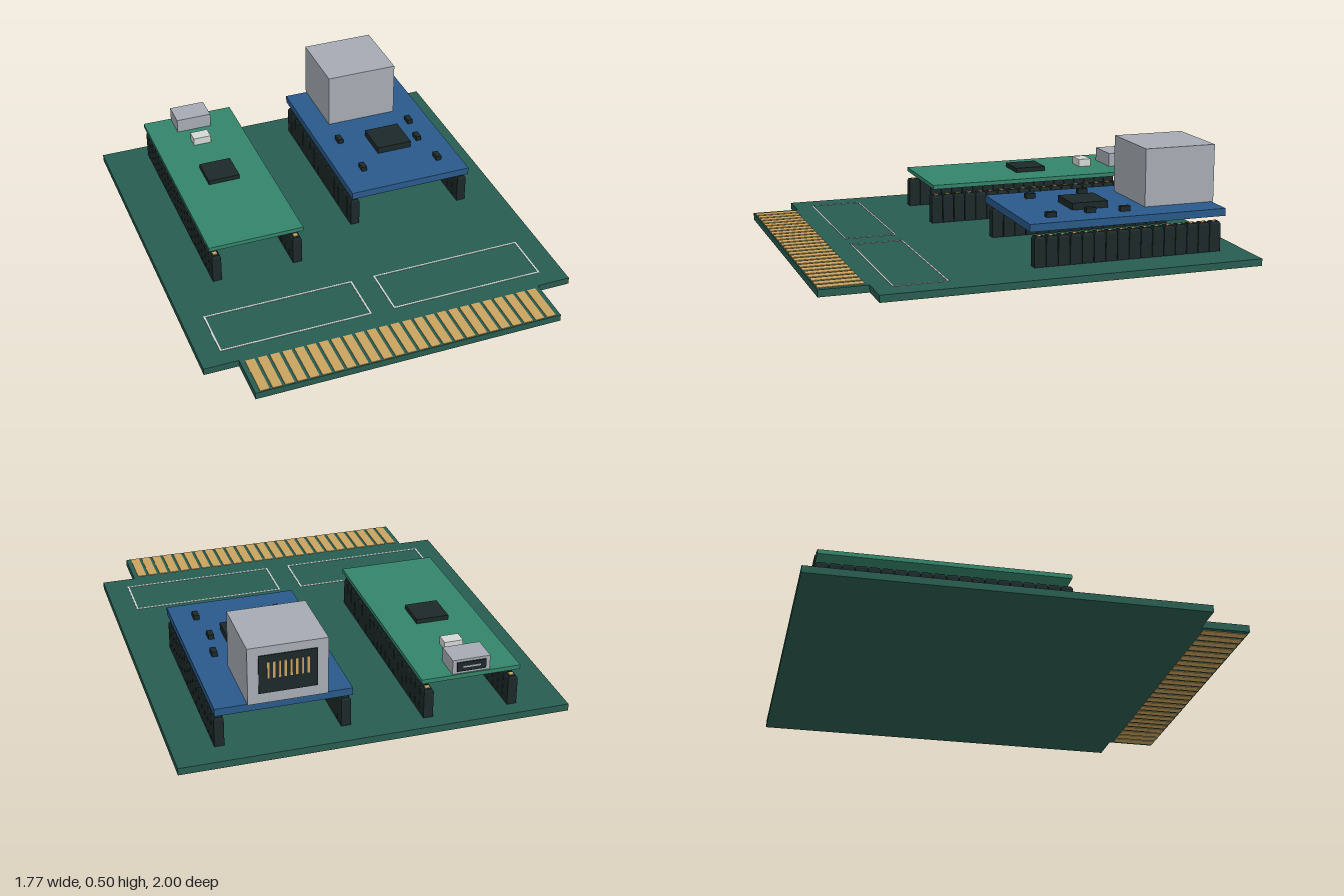
import * as THREE from 'three';

const mat = (name, color) => Object.assign(new THREE.MeshStandardMaterial({ color }), { name });

export function createModel() {
  const green = mat('dark green board', 0x285c50);
  const lightGreen = mat('light green board', 0x34846a);
  const blue = mat('blue board', 0x29598a);
  const black = mat('black plastic', 0x1c2828);
  const silver = mat('silver metal', 0xa6abb3);
  const gold = mat('gold contact', 0xc9a35f);
  const white = mat('white print', 0xd3d8d4);

  const model = new THREE.Group();
  model.name = 'expansionCard';

  const group = (name) => {
    const g = new THREE.Group();
    g.name = name;
    model.add(g);
    return g;
  };
  // Box given by its limits on each axis
  const box = (parent, name, material, [x0, x1], [y0, y1], [z0, z1]) => {
    const mesh = new THREE.Mesh(new THREE.BoxGeometry(x1 - x0, y1 - y0, z1 - z0), material);
    mesh.position.set((x0 + x1) / 2, (y0 + y1) / 2, (z0 + z1) / 2);
    mesh.name = name;
    parent.add(mesh);
    return mesh;
  };

  // Carrier board with its narrower edge connector tab
  const BASE = 0.003, TOP = 0.036;
  const card = group('carrierCard');
  const outline = new THREE.Shape([
    [-0.887, 1], [0.887, 1], [0.887, -0.775], [0.726, -0.775],
    [0.726, -1], [-0.726, -1], [-0.726, -0.775], [-0.887, -0.775],
  ].map(([x, y]) => new THREE.Vector2(x, y)));
  const boardGeo = new THREE.ExtrudeGeometry(outline, { depth: TOP - BASE, bevelEnabled: false });
  boardGeo.rotateX(-Math.PI / 2);
  const board = new THREE.Mesh(boardGeo, green);
  board.position.y = BASE;
  board.name = 'carrierBoard';
  card.add(board);

  // Gold fingers on both faces of the tab
  for (let i = 0; i < 25; i++) {
    const x = (i - 12) * 0.0568;
    const span = [x - 0.0215, x + 0.0215];
    box(card, 'topFinger', gold, span, [TOP, TOP + 0.003], [0.79, 0.995]);
    box(card, 'bottomFinger', gold, span, [0, BASE], [0.79, 0.995]);
  }

  // Printed outlines
  for (const [x0, x1] of [[-0.785, -0.067], [0.04, 0.778]]) {
    const w = 0.008, y = [TOP, TOP + 0.002], z0 = 0.438, z1 = 0.69;
    box(card, 'printedLine', white, [x0, x1], y, [z0, z0 + w]);
    box(card, 'printedLine', white, [x0, x1], y, [z1 - w, z1]);
    box(card, 'printedLine', white, [x0, x0 + w], y, [z0 + w, z1 - w]);
    box(card, 'printedLine', white, [x1 - w, x1], y, [z0 + w, z1 - w]);
  }

  // One socket cell: a block whose top edges are chamfered
  const PITCH = 0.0568, SOCKET_TOP = 0.175;
  const cellGeo = new THREE.BoxGeometry(0.044, SOCKET_TOP - TOP, 0.054, 1, 12, 1);
  const p = cellGeo.attributes.position;
  const half = (SOCKET_TOP - TOP) / 2;
  for (let i = 0; i < p.count; i++) {
    if (p.getY(i) > half - 0.001) {
      p.setX(i, p.getX(i) * 0.72);
      p.setZ(i, p.getZ(i) * 0.76);
    }
  }
  const flatCell = cellGeo.toNonIndexed();
  flatCell.computeVertexNormals();

  const socketRow = (parent, x, zMid, count) => {
    for (let i = 0; i < count; i++) {
      const z = zMid + (i - (count - 1) / 2) * PITCH;
      const cell = new THREE.Mesh(flatCell, black);
      cell.position.set(x, (TOP + SOCKET_TOP) / 2, z);
      cell.name = 'socketCell';
      parent.add(cell);
      box(parent, 'socketContact', gold, [x - 0.01, x + 0.01],
        [SOCKET_TOP, SOCKET_TOP + 0.002], [z - 0.01, z + 0.01]);
    }
  };

  // Controller module
  const controller = group('controllerModule');
  const G = 0.228;
  socketRow(controller, -0.645, -0.357, 20);
  socketRow(controller, -0.25, -0.357, 20);
  box(controller, 'controllerBoard', lightGreen, [-0.677, -0.217], [0.208, G], [-0.92, 0.205]);
  box(controller, 'controllerChip', black, [-0.526, -0.37], [G, 0.25], [-0.435, -0.28]);
  box(controller, 'pushButton', white, [-0.493, -0.405], [G, 0.266], [-0.7, -0.637]);
  box(controller, 'usbShell', silver, [-0.535, -0.36], [G, 0.296], [-0.912, -0.785]);
  box(controller, 'usbOpening', black, [-0.515, -0.38], [0.24, 0.284], [-0.918, -0.912]);
  box(controller, 'usbTongue', silver, [-0.488, -0.407], [0.258, 0.266], [-0.92, -0.918]);

  // Network module
  const network = group('networkModule');
  const B = 0.235;
  socketRow(network, 0.115, -0.43, 16);
  socketRow(network, 0.68, -0.43, 16);
  box(network, 'networkBoard', blue, [0.092, 0.703], [0.2, B], [-0.905, 0.045]);
  box(network, 'networkChip', black, [0.337, 0.513], [B, 0.267], [-0.405, -0.23]);
  for (const [x, z] of [[0.197, -0.405], [0.217, -0.135], [0.595, -0.45], [0.573, -0.292], [0.595, -0.093]]) {
    box(network, 'smallComponent', black, [x - 0.013, x + 0.013], [B, 0.258], [z - 0.024, z + 0.024]);
  }

  // Network jack with its opening and eight contacts facing the back
  box(network, 'jackShell', silver, [0.205, 0.56], [B, 0.505], [-0.914, -0.568]);
  box(network, 'jackOpening', black, [0.253, 0.512], [0.285, 0.465], [-0.919, -0.914]);
  for (let i = 0; i < 8; i++) {
    const x = 0.3825 + (i - 3.5) * 0.025;
    box(network, 'jackContact', gold, [x - 0.005, x + 0.005], [0.355, 0.432], [-0.922, -0.919]);
  }

  return model;
}
